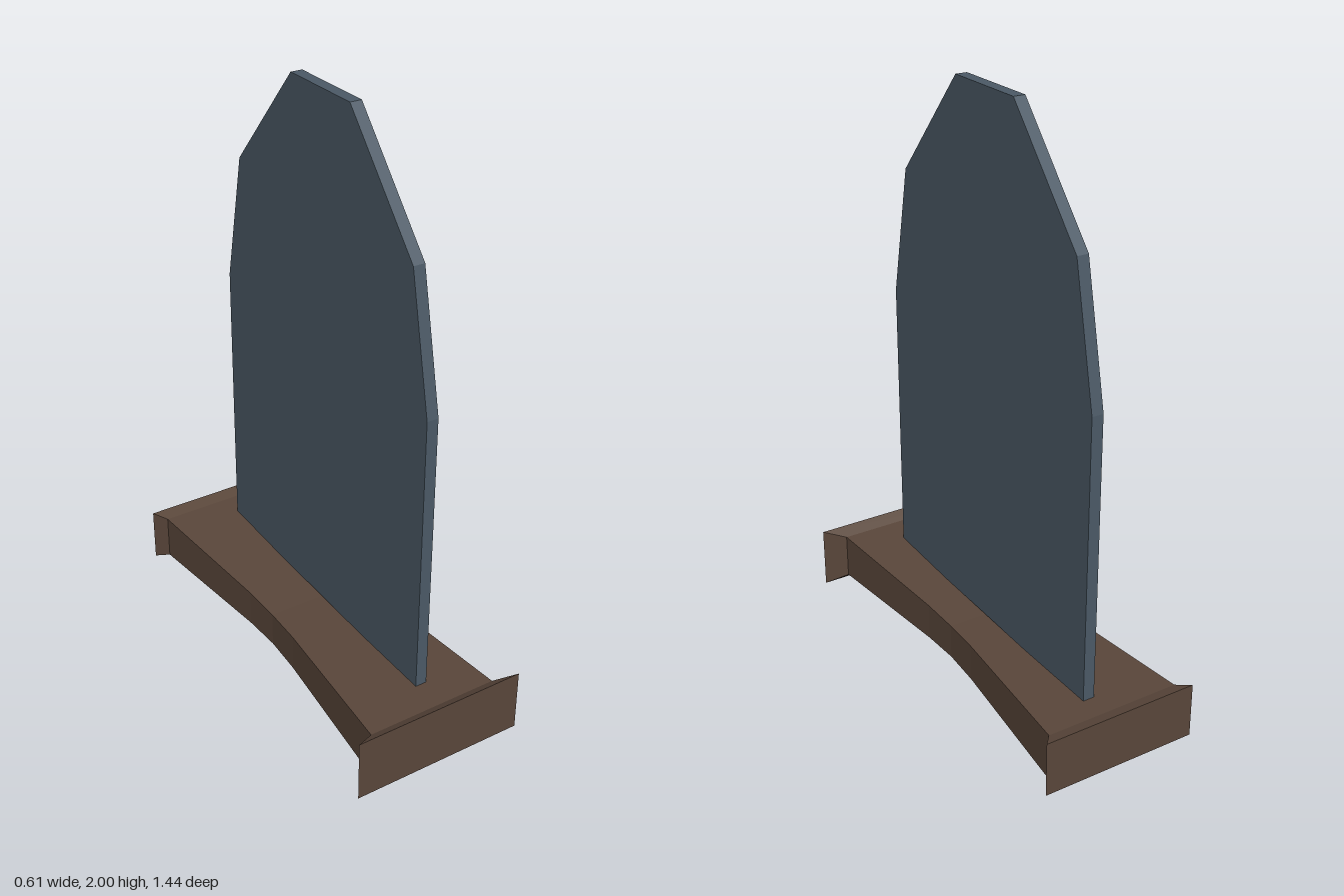
import * as THREE from 'three';

// Loft through rectangular sections [z, left x, right x, bottom y, top y], front to back
function loftRectangles(sections) {
  const positions = [];
  const rings = sections.map(([z, l, r, b, t]) => [[l, b, z], [r, b, z], [r, t, z], [l, t, z]]);
  const quad = (a, b, c, d) => positions.push(...a, ...b, ...c, ...a, ...c, ...d);
  for (let s = 0; s < rings.length - 1; s++) {
    for (let i = 0; i < 4; i++) {
      const j = (i + 1) % 4;
      quad(rings[s][i], rings[s + 1][i], rings[s + 1][j], rings[s][j]);
    }
  }
  quad(...rings[0]);
  quad(...rings[rings.length - 1].slice().reverse());
  const geometry = new THREE.BufferGeometry();
  geometry.setAttribute('position', new THREE.Float32BufferAttribute(positions, 3));
  geometry.computeVertexNormals();
  return geometry;
}

export function createModel() {
  const steel = new THREE.MeshStandardMaterial({ color: 0x4b5965, flatShading: true });
  steel.name = 'slate steel';
  const wood = new THREE.MeshStandardMaterial({ color: 0x59463a, flatShading: true });
  wood.name = 'dark brown';
  const model = new THREE.Group();
  model.name = 'bladeOnBase';

  // Waisted bar with flared ends, slightly larger at the front
  const base = new THREE.Mesh(loftRectangles([
    [0.72, -0.305, 0.305, 0, 0.22],
    [0.68, -0.235, 0.23, 0.033, 0.195],
    [0.14, -0.19, 0.186, 0.05, 0.181],
    [0, -0.185, 0.181, 0.053, 0.177],
    [-0.14, -0.191, 0.187, 0.05, 0.181],
    [-0.675, -0.24, 0.235, 0.033, 0.195],
    [-0.72, -0.277, 0.273, 0.015, 0.208],
  ]), wood);
  base.name = 'base';
  model.add(base);

  // Thin upright blade with a chamfered top, outline drawn in z and y
  const outline = [
    [-0.59, 0.184], [0.57, 0.184], [0.57, 1.175], [0.477, 1.627],
    [0.15, 2], [-0.17, 2], [-0.497, 1.627], [-0.59, 1.175],
  ].map(([z, y]) => new THREE.Vector2(z, y));
  const bladeGeometry = new THREE.ExtrudeGeometry(new THREE.Shape(outline), { depth: 0.04, bevelEnabled: false });
  bladeGeometry.rotateY(-Math.PI / 2).translate(0.05, 0, 0);
  const blade = new THREE.Mesh(bladeGeometry, steel);
  blade.name = 'blade';
  model.add(blade);

  return model;
}
